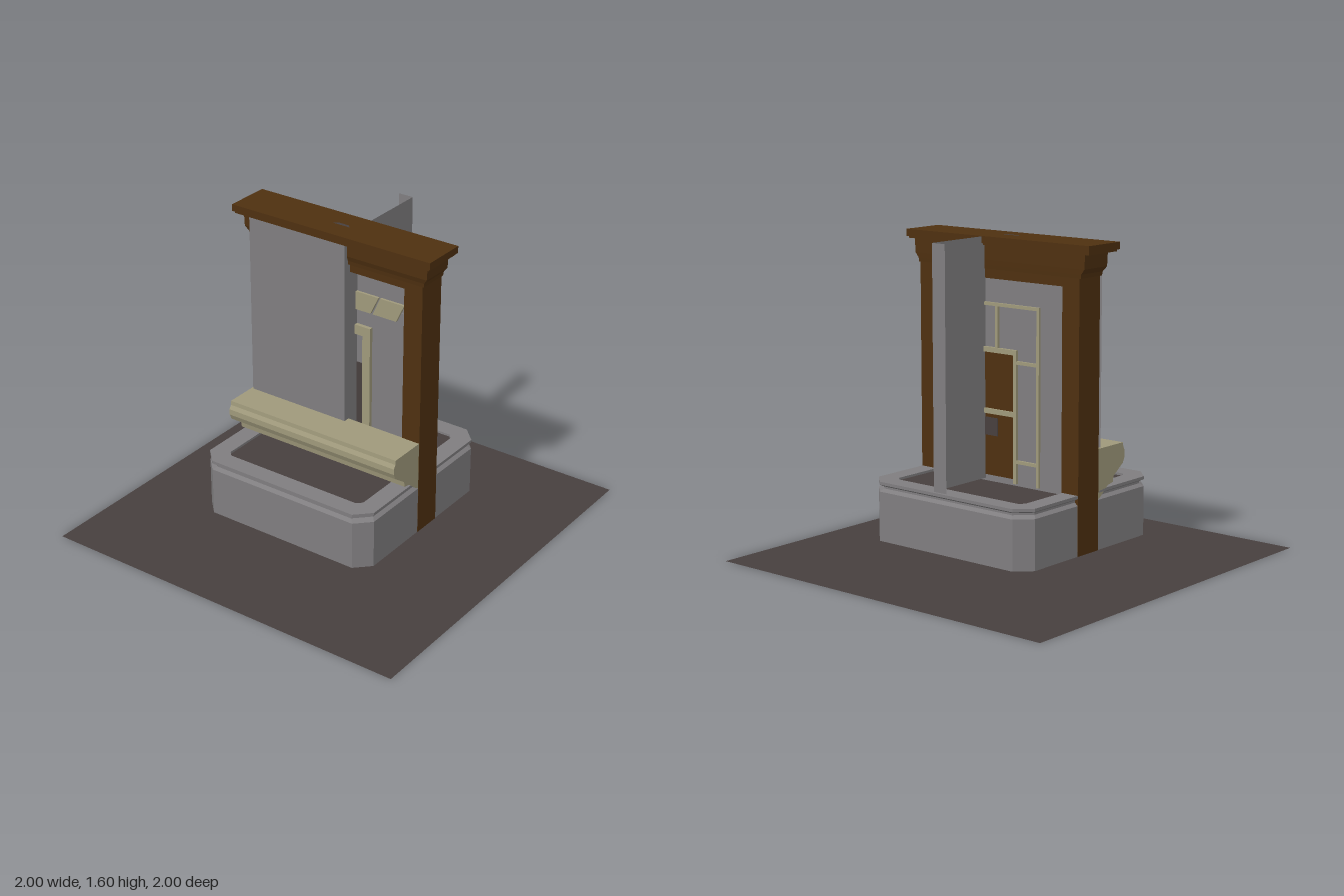
import * as THREE from 'three';

const mat = (name, color, side = THREE.FrontSide) => {
  const m = new THREE.MeshStandardMaterial({ color, side });
  m.name = name;
  return m;
};

// Skin between loops of [x, y, z] points; flat faces, either capped or wrapped round
function loft(loops, wrap = false) {
  const pos = [];
  const n = loops[0].length;
  const tri = (a, b, c) => pos.push(...a, ...b, ...c);
  const last = wrap ? loops.length : loops.length - 1;
  for (let i = 0; i < last; i++) {
    const lo = loops[i], hi = loops[(i + 1) % loops.length];
    for (let j = 0; j < n; j++) {
      const k = (j + 1) % n;
      tri(lo[j], lo[k], hi[k]);
      tri(lo[j], hi[k], hi[j]);
    }
  }
  if (!wrap) {
    const b = loops[0], t = loops[loops.length - 1];
    for (let j = 1; j < n - 1; j++) {
      tri(b[0], b[j + 1], b[j]);
      tri(t[0], t[j], t[j + 1]);
    }
  }
  const g = new THREE.BufferGeometry();
  g.setAttribute('position', new THREE.Float32BufferAttribute(pos, 3));
  g.computeVertexNormals();
  return g;
}

// Square outline with cut corners
function octagon(h, cut, y) {
  const k = h - cut;
  return [[-k, h], [k, h], [h, k], [h, -k], [k, -h], [-k, -h], [-h, -k], [-h, k]]
    .map(([x, z]) => [x, y, z]);
}

const rect = (hx, zf, zb, y) => [[-hx, y, zf], [hx, y, zf], [hx, y, zb], [-hx, y, zb]];

export function createModel() {
  const root = new THREE.Group();
  root.name = 'wallShrine';
  const stone = mat('greyStone', 0x7f7d7f);
  const sheetStone = mat('greySheet', 0x7f7d7f, THREE.DoubleSide);
  const wood = mat('darkWood', 0x4e3010);
  const cream = mat('paleTan', 0x9f997b);
  const earth = mat('darkEarth', 0x473f3e, THREE.DoubleSide);

  const add = (name, geo, material, parent = root) => {
    const m = new THREE.Mesh(geo, material);
    m.name = name;
    parent.add(m);
    return m;
  };
  const box = (name, x0, x1, y0, y1, z0, z1, material, parent) => {
    const g = new THREE.BoxGeometry(x1 - x0, y1 - y0, z1 - z0);
    g.translate((x0 + x1) / 2, (y0 + y1) / 2, (z0 + z1) / 2);
    return add(name, g, material, parent);
  };
  const flat = (name, w, d, y) => {
    const g = new THREE.PlaneGeometry(w, d).rotateX(-Math.PI / 2).translate(0, y, 0);
    return add(name, g, earth);
  };

  // Ground and basin
  flat('ground', 2, 2, 0);
  const ring = [
    [0.5, 0.1], [0.5, 0.35], [0.483, 0.365], [0.483, 0.375], [0.5, 0.385], [0.5, 0.4],
  ].map(([h, y]) => octagon(h, 0.075, y));
  ring.push(octagon(0.405, 0.025, 0.4), octagon(0.405, 0.025, 0.1));
  add('basinRim', loft(ring, true), stone);
  flat('basinFloor', 0.81, 0.81, 0.388);

  // Posts, lintel and cornice
  for (const s of [-1, 1]) {
    box('post', Math.min(s * 0.4, s * 0.502), Math.max(s * 0.4, s * 0.502),
      0.1, 1.45, -0.105, 0.052, wood);
  }
  box('lintel', -0.4, 0.4, 1.395, 1.45, -0.103, 0.04, wood);
  add('cornice', loft([
    rect(0.51, 0.056, -0.106, 1.44),
    rect(0.513, 0.058, -0.107, 1.46),
    rect(0.532, 0.066, -0.108, 1.485),
    rect(0.536, 0.066, -0.108, 1.555),
    rect(0.565, 0.1, -0.118, 1.555),
    rect(0.565, 0.1, -0.118, 1.565),
    rect(0.575, 0.107, -0.128, 1.565),
    rect(0.575, 0.107, -0.128, 1.6),
  ]), wood);
  const slot = new THREE.Shape([[-0.05, 0], [0.05, 0], [0.03, 0.018], [-0.03, 0.018]]
    .map(([x, y]) => new THREE.Vector2(x, y)));
  add('topSlot', new THREE.ShapeGeometry(slot).rotateX(-Math.PI / 2)
    .translate(0, 1.6015, 0), earth);

  // Moulded counter, its side outline swept across the width
  const side = new THREE.Shape([
    [0.05, 0.35], [0.075, 0.365], [0.13, 0.41], [0.17, 0.418], [0.175, 0.447], [0.25, 0.5],
    [0.264, 0.53], [0.264, 0.56], [0.252, 0.58], [0.25, 0.602], [0.05, 0.602],
  ].map(([z, y]) => new THREE.Vector2(-z, y)));
  const counter = new THREE.ExtrudeGeometry(side, { depth: 1, bevelEnabled: false });
  counter.rotateY(Math.PI / 2).translate(-0.5, 0, 0);
  add('counter', counter, cream);

  // Folded screen: front panel, fin and short return
  const plan = [[-0.49, 0.083], [0.08, 0.083], [0.08, -0.483], [0, -0.483]];
  const screen = new THREE.Group();
  screen.name = 'foldedScreen';
  root.add(screen);
  for (let i = 0; i < 3; i++) {
    const [x0, z0] = plan[i], [x1, z1] = plan[i + 1];
    const g = new THREE.PlaneGeometry(Math.hypot(x1 - x0, z1 - z0), 1.198);
    g.rotateY(Math.atan2(z0 - z1, x1 - x0)).translate((x0 + x1) / 2, 0.999, (z0 + z1) / 2);
    add('screenLeaf', g, sheetStone, screen);
  }

  // Back wall and door
  box('backWall', -0.4, 0.4, 0.385, 1.4, -0.1, -0.02, stone);
  box('doorFront', -0.125, 0.125, 0.4, 0.89, -0.021, -0.016, earth);
  box('doorBack', -0.11, 0.11, 0.42, 1.04, -0.104, -0.099, wood);
  box('doorBackPatch', 0, 0.1, 0.62, 0.71, -0.106, -0.103, earth);
  for (const s of [-1, 1]) {
    box('doorFrameSide', s * 0.1475 - 0.0225, s * 0.1475 + 0.0225, 0.4, 1.1, -0.02, 0, cream);
    box('doorBackSide', s * 0.115 - 0.01, s * 0.115 + 0.01, 0.4, 1.06, -0.115, -0.1, cream);
    box('latticePost', s * 0.257 - 0.008, s * 0.257 + 0.008, 0.4, 1.28, -0.113, -0.1, cream);
    for (const y of [0.51, 1.0]) {
      box('latticeRail', Math.min(s * 0.125, s * 0.257), Math.max(s * 0.125, s * 0.257),
        y - 0.008, y + 0.008, -0.113, -0.1, cream);
    }
  }
  box('doorFrameTop', -0.125, 0.125, 1.05, 1.1, -0.02, 0, cream);
  box('doorBackTop', -0.105, 0.105, 1.035, 1.06, -0.115, -0.1, cream);
  box('doorBackRail', -0.105, 0.105, 0.73, 0.755, -0.115, -0.1, cream);
  box('latticeTop', -0.265, 0.265, 1.264, 1.28, -0.113, -0.1, cream);
  box('latticeMiddle', -0.008, 0.008, 1.06, 1.264, -0.113, -0.1, cream);

  // Slanted plates over the door, with a small bracket
  for (const [l, r] of [[0.03, 0.212], [0.222, 0.36]]) {
    const shape = new THREE.Shape([[l - 0.042, 1.18], [r - 0.045, 1.18], [r, 1.275], [l, 1.275]]
      .map(([x, y]) => new THREE.Vector2(x, y)));
    const g = new THREE.ExtrudeGeometry(shape, { depth: 0.015, bevelEnabled: false });
    add('slantedPlate', g.translate(0, 0, -0.022), cream);
  }
  box('bracket', 0.34, 0.4, 1.19, 1.23, -0.022, -0.012, stone);

  return root;
}
